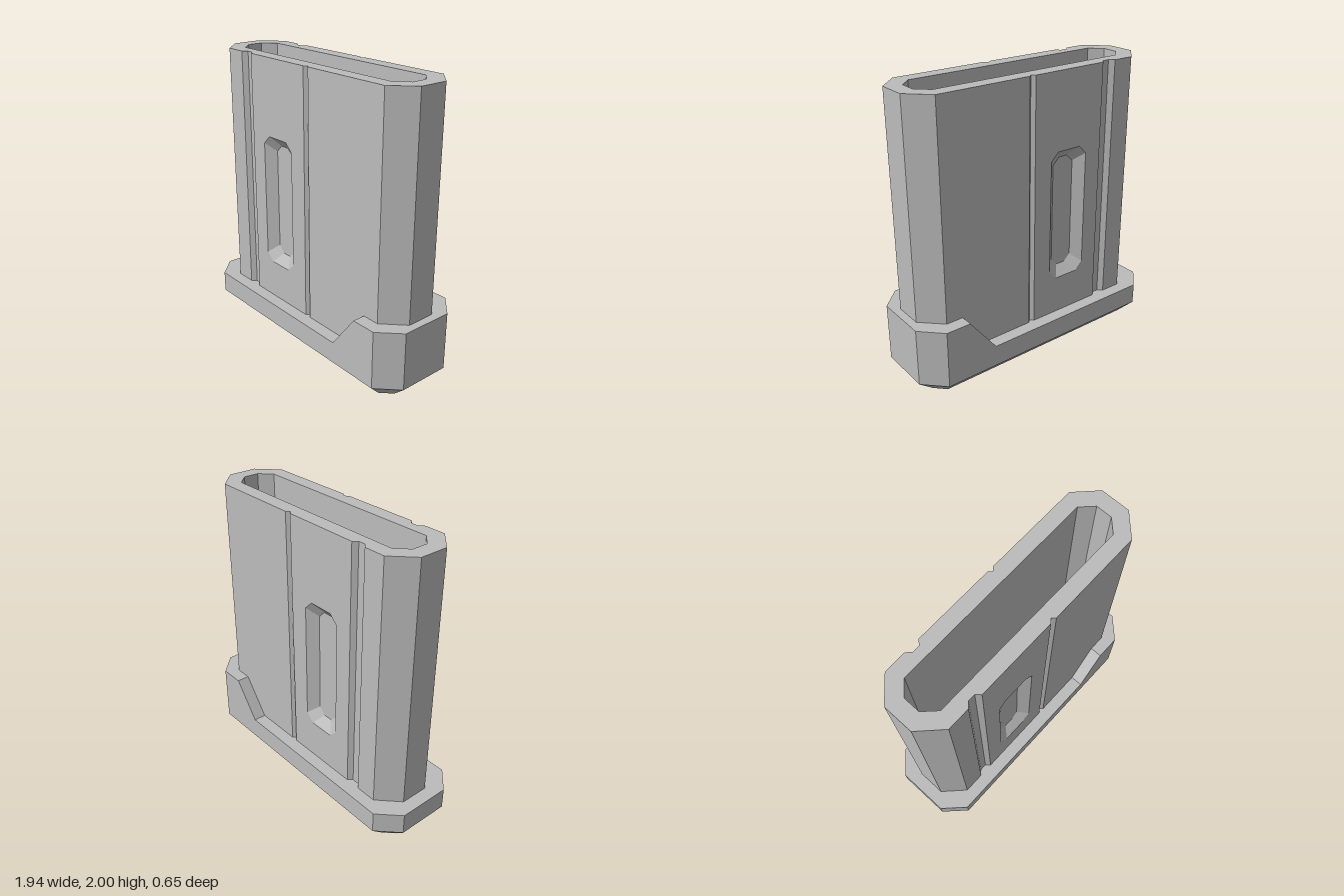
import * as THREE from 'three';

const V = (x, y, z) => new THREE.Vector3(x, y, z);

// Chamfered rectangle, counter-clockwise
const octagon = (x0, x1, y0, y1, c) => [
  [x0, y0 + c], [x0 + c, y0], [x1 - c, y0], [x1, y0 + c],
  [x1, y1 - c], [x1 - c, y1], [x0 + c, y1], [x0, y1 - c],
];

// Closed plan outline from its front edge [x, halfDepth], mirrored to the back
const mirrored = (front) => [
  ...front.map(([x, d]) => [x, -d]),
  ...[...front].reverse(),
];

// Plan outline placed at a height (number or function of x)
const ring = (plan, y) =>
  plan.map(([x, v]) => V(x, typeof y === 'function' ? y(x) : y, -v));

// Quads between two rings
function loft(a, b, skip = []) {
  const out = [];
  a.forEach((p, i) => {
    if (skip.includes(i)) return;
    const j = (i + 1) % a.length;
    out.push(p, a[j], b[j], p, b[j], b[i]);
  });
  return out;
}

// Triangle fan over a convex ring
function fan(r) {
  const out = [];
  for (let i = 1; i < r.length - 1; i++) out.push(r[0], r[i], r[i + 1]);
  return out;
}

const toShape = (pts) => new THREE.Shape(pts.map(([x, y]) => new THREE.Vector2(x, y)));

export function createModel() {
  const grey = new THREE.MeshStandardMaterial({ color: 0xbcbcbc });
  grey.name = 'grey';
  const model = new THREE.Group();
  model.name = 'model';

  const add = (name, geometry, parent = model) => {
    const mesh = new THREE.Mesh(geometry, grey);
    mesh.name = name;
    parent.add(mesh);
    return mesh;
  };
  const faces = (points) => {
    const g = new THREE.BufferGeometry().setFromPoints(points);
    g.computeVertexNormals();
    return g;
  };

  // Body walls with two vertical grooves; the recessed panels are left open
  const D = 0.237, bottom = 0.25, top = 2;
  const bodyPlan = mirrored([
    [-0.88, 0.1], [-0.74, D],
    [-0.59, D], [-0.56, 0.207], [-0.51, 0.207], [-0.485, D],
    [0.07, D], [0.092, 0.215], [0.115, D],
    [0.775, D], [0.915, 0.1],
  ]);
  add('bodyWalls', faces(loft(ring(bodyPlan, bottom), ring(bodyPlan, top), [5, 15])));

  // Rim and hollow interior
  const cavity = octagon(-0.775, 0.81, -0.135, 0.135, 0.08);
  const rimShape = toShape(bodyPlan);
  rimShape.holes.push(toShape(cavity));
  const rim = new THREE.ShapeGeometry(rimShape).rotateX(-Math.PI / 2).translate(0, top, 0);
  add('rim', rim);
  const floor = ring(cavity, 0.55);
  add('cavity', faces([...loft(ring(cavity, top), floor), ...fan(floor)]));

  // Front and back panels, each with a bevelled recess
  for (const s of [1, -1]) {
    const panel = new THREE.Group();
    panel.name = s > 0 ? 'frontPanel' : 'backPanel';
    const cx = -0.2125 * s;
    const outer = octagon(cx - 0.148, cx + 0.148, 0.54, 1.47, 0.058);
    const inner = octagon(cx - 0.083, cx + 0.083, 0.607, 1.405, 0.048);
    const sheet = toShape([
      [-0.485 * s, bottom], [0.07 * s, bottom], [0.07 * s, top], [-0.485 * s, top],
    ]);
    sheet.holes.push(toShape(outer));
    add('panelFace', new THREE.ShapeGeometry(sheet).translate(0, 0, D), panel);
    const at = (pts, z) => pts.map(([x, y]) => V(x, y, z));
    const deep = at(inner, D - 0.06);
    add('recess', faces([...loft(at(outer, D), deep), ...fan(deep)]), panel);
    if (s < 0) panel.rotation.y = Math.PI;
    model.add(panel);
  }

  // Tapered underside of the base
  const foot = ring(octagon(-0.868, 0.845, -0.207, 0.207, 0.072), 0);
  const basePlan = octagon(-0.972, 0.97, -0.325, 0.325, 0.14);
  add('baseUnderside', faces([
    ...loft(foot, ring(basePlan, 0.12)),
    ...fan([...foot].reverse()),
  ]));

  // Base collar, stepping up by a slope to the raised end
  const collarPlan = mirrored([
    [-0.972, 0.185], [-0.832, 0.325], [0.46, 0.325],
    [0.655, 0.325], [0.83, 0.325], [0.97, 0.185],
  ]);
  const height = (x) => 0.27 + 0.255 * THREE.MathUtils.clamp((x - 0.46) / 0.195, 0, 1);
  const upper = ring(collarPlan, height);
  const collar = loft(ring(collarPlan, 0.12), upper);
  const n = upper.length;
  for (let i = 0; i < n / 2 - 1; i++) {
    collar.push(...fan([upper[i], upper[i + 1], upper[n - 2 - i], upper[n - 1 - i]]));
  }
  add('baseCollar', faces(collar));

  return model;
}
